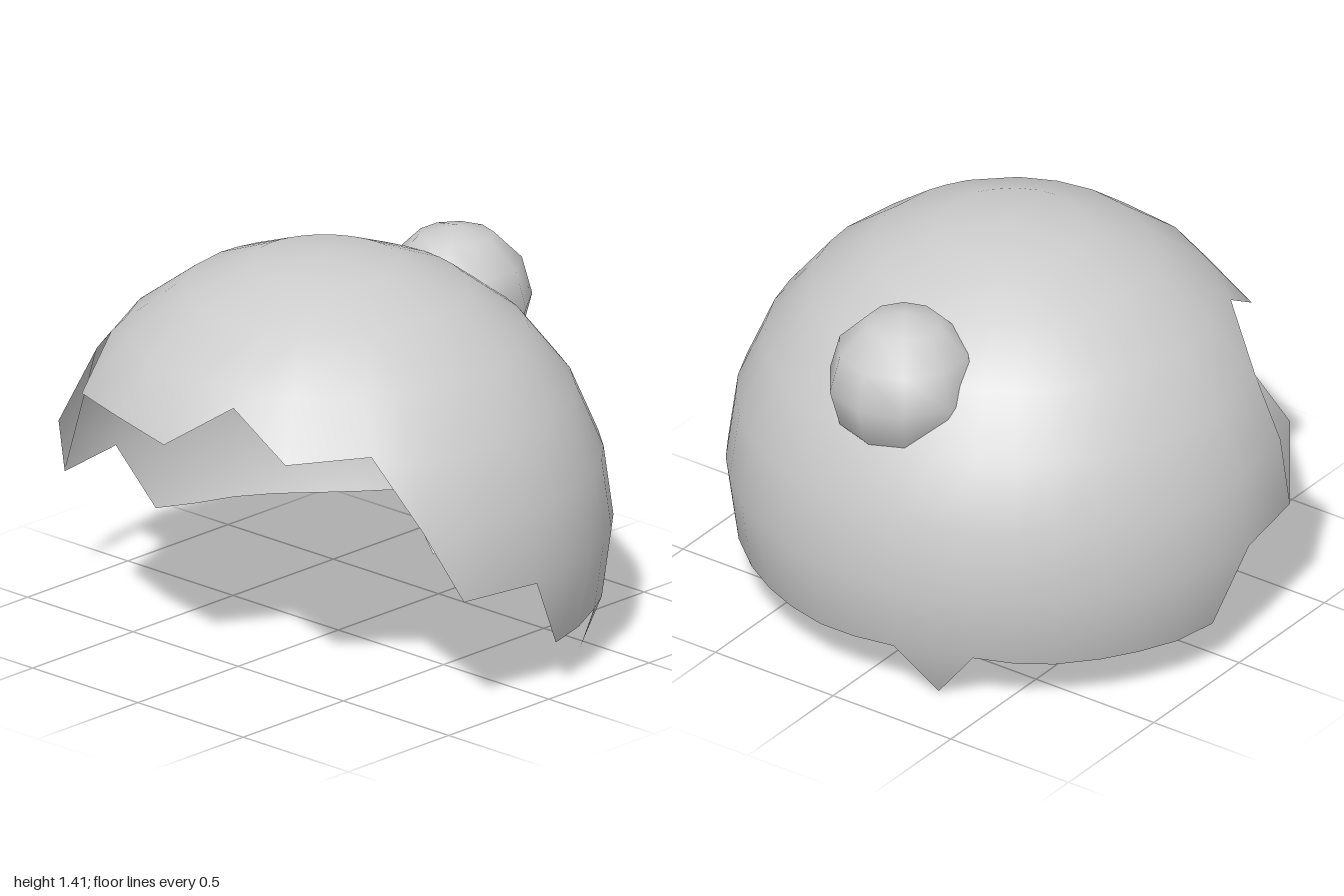
import * as THREE from 'three';

// Ellipsoid that the hair shell lies on
const CENTRE = new THREE.Vector3(0, 0.44, 0.06);
const RADII = new THREE.Vector3(1, 0.965, 0.975);

// Jagged hem, from the left side round the front, the right side and the back
const HEM = [
  [1, 0.44, 0.06], [0.95, 0.44, 0.37], [0.86, 0.7, 0.48], [0.68, 0.95, 0.55],
  [0.48, 0.93, 0.77], [0.23, 1.08, 0.77], [0.03, 0.93, 0.91], [-0.25, 0.95, 0.85],
  [-0.53, 0.93, 0.73], [-0.61, 1.08, 0.5], [-0.82, 0.92, 0.35], [-0.95, 0.44, 0.37],
  [-1, 0.44, 0.06], [-0.96, 0.18, -0.09], [-0.91, 0.17, -0.24], [-0.86, 0.17, -0.38],
  [-0.78, 0.17, -0.5], [-0.67, 0.17, -0.62], [-0.56, 0.18, -0.7], [-0.44, 0.195, -0.79],
  [-0.28, 0, -0.77], [-0.16, 0.195, -0.86], [0, 0.18, -0.88], [0.15, 0.17, -0.86],
  [0.3, 0.17, -0.83], [0.44, 0.17, -0.79], [0.56, 0.18, -0.7], [0.69, 0.195, -0.6],
  [0.72, 0, -0.45], [0.86, 0.195, -0.38], [0.91, 0.18, -0.24], [0.95, 0.17, -0.09],
];
const SIDE_LOCK = [-0.86, 0.68, 0.49]; // tip that juts forward on the right side
const LOCK_TOP = 10, LOCK_BOTTOM = 11; // hem points it hangs between
const ROWS = 8, STEP = Math.PI / 12;

// Azimuth and latitude of a point on the unit sphere
function toAngles(p) {
  const d = new THREE.Vector3(...p).sub(CENTRE).divide(RADII).normalize();
  return { az: Math.atan2(d.z, d.x), lat: Math.asin(d.y) };
}

function createShell() {
  const position = [], normal = [], index = [];
  const addPoint = (az, lat) => {
    const d = new THREE.Vector3(Math.cos(lat) * Math.cos(az), Math.sin(lat), Math.cos(lat) * Math.sin(az));
    position.push(...d.clone().multiply(RADII).add(CENTRE).toArray());
    normal.push(...d.divide(RADII).normalize().toArray());
    return position.length / 3 - 1;
  };

  // Each column runs down from the crown and stops at its hem point
  const columns = HEM.map((p) => {
    const { az, lat } = toAngles(p);
    const column = [];
    for (let k = 0; k <= ROWS; k++) {
      const rowLat = Math.PI / 2 - k * STEP;
      const ended = k > 0 && Math.PI / 2 - (k - 1) * STEP <= lat;
      column.push(ended ? column[k - 1] : addPoint(az, Math.max(rowLat, lat)));
    }
    return column;
  });

  columns.forEach((a, i) => {
    const b = columns[(i + 1) % columns.length];
    for (let k = 0; k < ROWS; k++) {
      if (a[k] !== a[k + 1]) index.push(a[k], b[k + 1], a[k + 1]);
      if (k > 0 && b[k] !== b[k + 1]) index.push(a[k], b[k], b[k + 1]);
    }
  });

  // Forward-pointing side lock
  const tip = toAngles(SIDE_LOCK);
  index.push(columns[LOCK_TOP][ROWS], columns[LOCK_BOTTOM][ROWS], addPoint(tip.az, tip.lat));

  const geometry = new THREE.BufferGeometry();
  geometry.setAttribute('position', new THREE.Float32BufferAttribute(position, 3));
  geometry.setAttribute('normal', new THREE.Float32BufferAttribute(normal, 3));
  geometry.setIndex(index);
  return geometry;
}

export function createModel() {
  const group = new THREE.Group();
  group.name = 'hairWithBun';
  const hair = new THREE.MeshStandardMaterial({ color: 0xcccccc, side: THREE.DoubleSide });
  hair.name = 'hair grey';

  const shell = new THREE.Mesh(createShell(), hair);
  shell.name = 'hairShell';
  group.add(shell);

  // Round bun on the back of the crown
  const bun = new THREE.Mesh(new THREE.SphereGeometry(0.268, 10, 6, Math.PI / 2), hair);
  bun.name = 'bun';
  bun.position.set(0, 1.063, -0.585);
  group.add(bun);

  return group;
}
